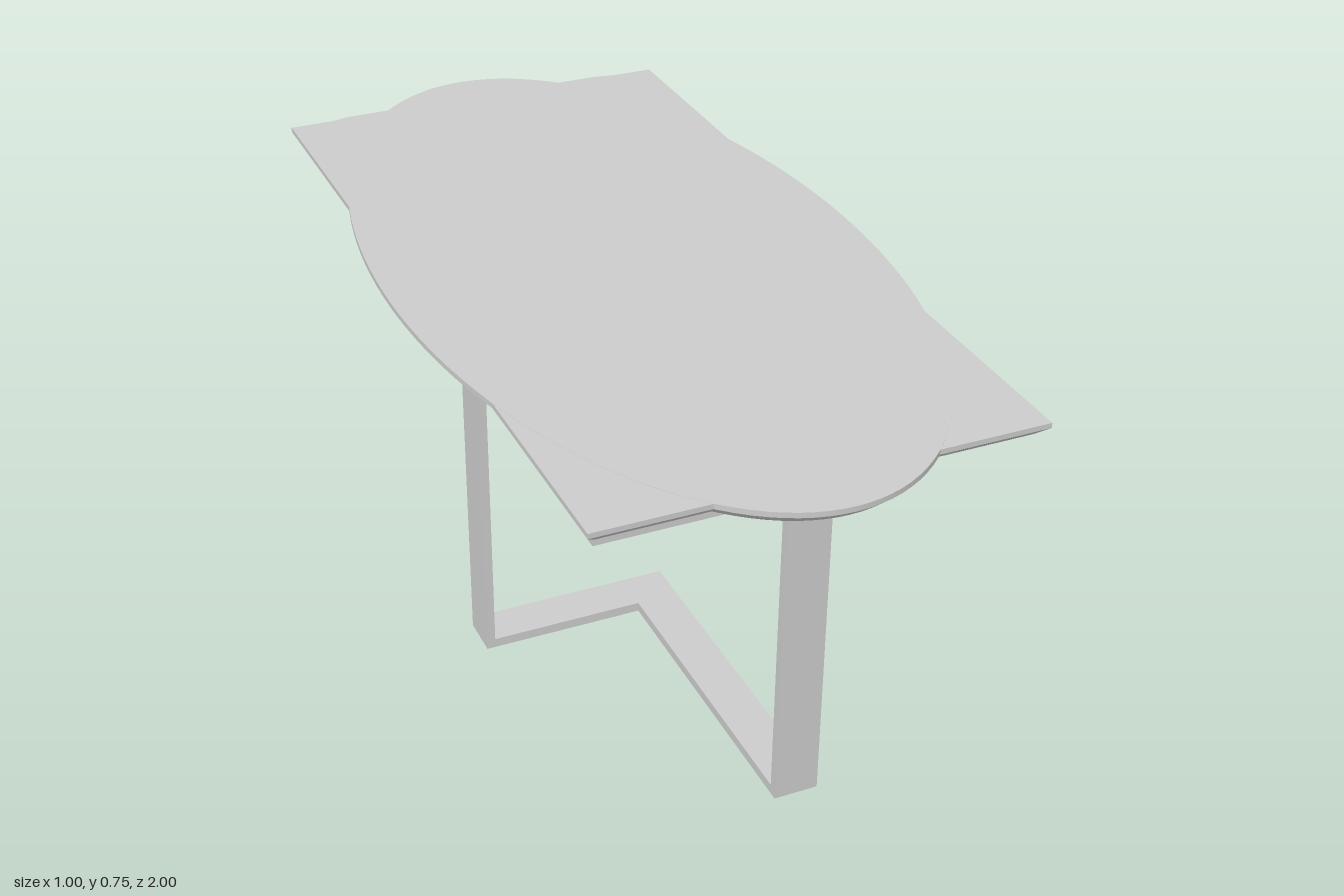
import * as THREE from 'three';
import { toCreasedNormals } from 'three/addons/utils/BufferGeometryUtils.js';

const material = new THREE.MeshStandardMaterial({ color: 0xcccccc });

function mesh(name, geometry) {
  const m = new THREE.Mesh(geometry, material);
  m.name = name;
  return m;
}

// Slab with an upright rim and an undercut edge; outline is [x, z] around the centre
function slab(outline, halfX, halfZ, top) {
  const rimY = 0.738, bottom = 0.718, inset = 0.022;
  const ring = (y, cut) =>
    outline.map(([x, z]) => [x * (1 - cut / halfX), y, z * (1 - cut / halfZ)]);
  const rings = [ring(top, 0), ring(rimY, 0), ring(bottom, inset)];
  const pos = [];
  const tri = (...corners) => corners.forEach((c) => pos.push(...c));
  const n = outline.length;
  for (let i = 0; i < n; i++) {
    const j = (i + 1) % n;
    tri([0, top, 0], rings[0][j], rings[0][i]);
    tri([0, bottom, 0], rings[2][i], rings[2][j]);
    for (let r = 0; r < 2; r++) {
      const a = rings[r], b = rings[r + 1];
      tri(a[i], a[j], b[i]);
      tri(a[j], b[j], b[i]);
    }
  }
  const g = new THREE.BufferGeometry();
  g.setAttribute('position', new THREE.Float32BufferAttribute(pos, 3));
  return toCreasedNormals(g, 0.4);
}

// L-shaped floor rail with a flat upright at each free end
function createLeg(name) {
  const x0 = -0.392, x1 = 0.041, z0 = 0.103, z1 = 0.847;
  const width = 0.09, thick = 0.018, height = 0.72;
  const leg = new THREE.Group();
  leg.name = name;

  const corners = [
    [x0, z0], [x1, z0], [x1, z1], [x1 - width, z1], [x1 - width, z0 + width], [x0, z0 + width],
  ];
  const shape = new THREE.Shape(corners.map(([x, z]) => new THREE.Vector2(x, z)));
  const rail = new THREE.ExtrudeGeometry(shape, { depth: 0.02, bevelEnabled: false });
  rail.rotateX(Math.PI / 2).translate(0, 0.02, 0);
  leg.add(mesh('floorRail', rail));

  const sidePost = mesh('sidePost', new THREE.BoxGeometry(thick, height, width));
  sidePost.position.set(x0 + thick / 2, height / 2, z0 + width / 2);
  const endPost = mesh('endPost', new THREE.BoxGeometry(width, height, thick));
  endPost.position.set(x1 - width / 2, height / 2, z1 - thick / 2);
  leg.add(sidePost, endPost);
  return leg;
}

export function createModel() {
  const table = new THREE.Group();
  table.name = 'table';

  // Oval top
  const oval = [];
  for (let i = 0; i < 128; i++) {
    const a = (i / 128) * Math.PI * 2;
    oval.push([0.5 * Math.cos(a), Math.sin(a)]);
  }
  table.add(mesh('ovalTop', slab(oval, 0.5, 1, 0.749)));

  // Rectangular top whose corners stand out past the oval
  const rectangle = [
    [0.448, -0.896], [0.448, 0.899], [-0.448, 0.899], [-0.448, -0.896],
    [-0.35, -0.896], [-0.31, -0.905], [0.31, -0.905], [0.35, -0.896],
  ];
  table.add(mesh('rectangularTop', slab(rectangle, 0.448, 0.9, 0.7485)));

  // Two identical legs, the rear one turned half round
  const frontLeg = createLeg('frontLeg');
  const rearLeg = createLeg('rearLeg');
  rearLeg.rotation.y = Math.PI;
  rearLeg.position.set(-0.006, 0, 0.034);
  table.add(frontLeg, rearLeg);

  return table;
}
